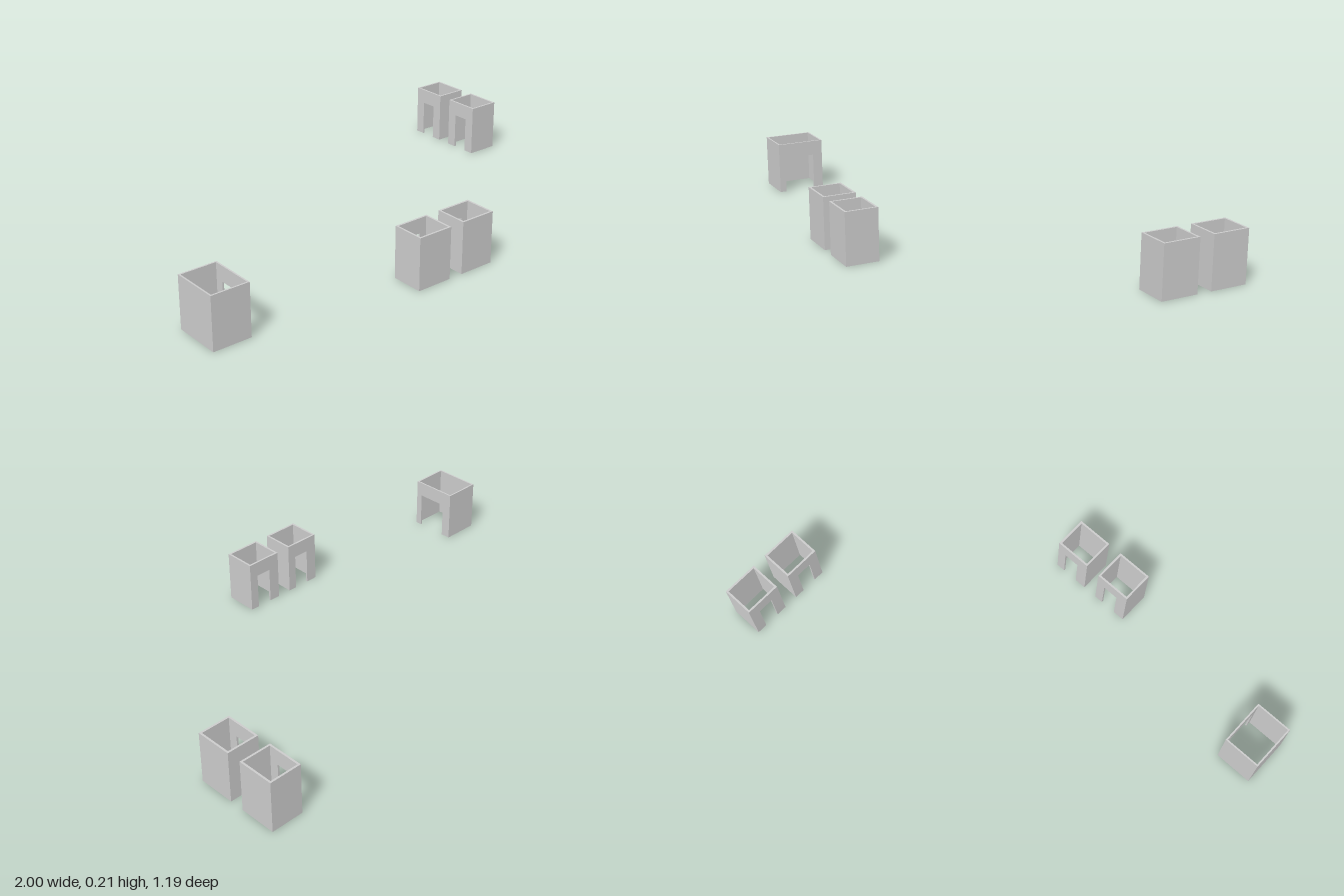
import * as THREE from 'three';

const HEIGHT = 0.212, DOOR_HEIGHT = 0.15;

function polygon(points) {
  return new THREE.Shape(points.map(([x, y]) => new THREE.Vector2(x, y)));
}

// Roofless, floorless booth; its doorway is in the local +z wall, from a to b measured from the left corner
function booth(name, { w, d, t, door: [a, b] }, material) {
  const group = new THREE.Group();
  group.name = name;
  const x = w / 2, z = d / 2, f = -z + t;

  // Three closed walls in one U-shaped plan
  const plan = polygon([[-x, f], [-x + t, f], [-x + t, z - t], [x - t, z - t], [x - t, f], [x, f], [x, z], [-x, z]]);
  const walls = new THREE.Mesh(
    new THREE.ExtrudeGeometry(plan, { depth: HEIGHT, bevelEnabled: false }).rotateX(-Math.PI / 2), material);
  walls.name = 'closedWalls';

  // Wall with the doorway cut up from the ground
  const face = polygon([[-x, 0], [-x + a, 0], [-x + a, DOOR_HEIGHT], [-x + b, DOOR_HEIGHT],
    [-x + b, 0], [x, 0], [x, HEIGHT], [-x, HEIGHT]]);
  const doorWall = new THREE.Mesh(
    new THREE.ExtrudeGeometry(face, { depth: t, bevelEnabled: false }).translate(0, 0, z - t), material);
  doorWall.name = 'doorWall';

  group.add(walls, doorWall);
  return group;
}

export function createModel() {
  const model = new THREE.Group();
  model.name = 'booths';
  const material = new THREE.MeshStandardMaterial({ color: 0xcccccc, flatShading: true });

  const large = { w: 0.197, d: 0.156, t: 0.0065, door: [0.027, 0.156] };
  const frontSmall = { w: 0.15, d: 0.134, t: 0.008, door: [0.037, 0.102] };
  const sideSmall = { w: 0.152, d: 0.134, t: 0.008, door: [0.043, 0.108] };

  // name, size, centre x, centre z, turn
  const layout = [
    ['largeBooth', large, -0.922, 0.379, Math.PI / 2],
    ['frontBoothRight', frontSmall, -0.113, 0.527, Math.PI],
    ['frontBoothLeft', frontSmall, 0.097, 0.527, Math.PI],
    ['sideBoothFront', sideSmall, 0.933, -0.306, -Math.PI / 2],
    ['sideBoothBack', sideSmall, 0.933, -0.518, -Math.PI / 2],
  ];
  for (const [name, size, px, pz, turn] of layout) {
    const b = booth(name, size, material);
    b.position.set(px, 0, pz);
    b.rotation.y = turn;
    model.add(b);
  }
  return model;
}
